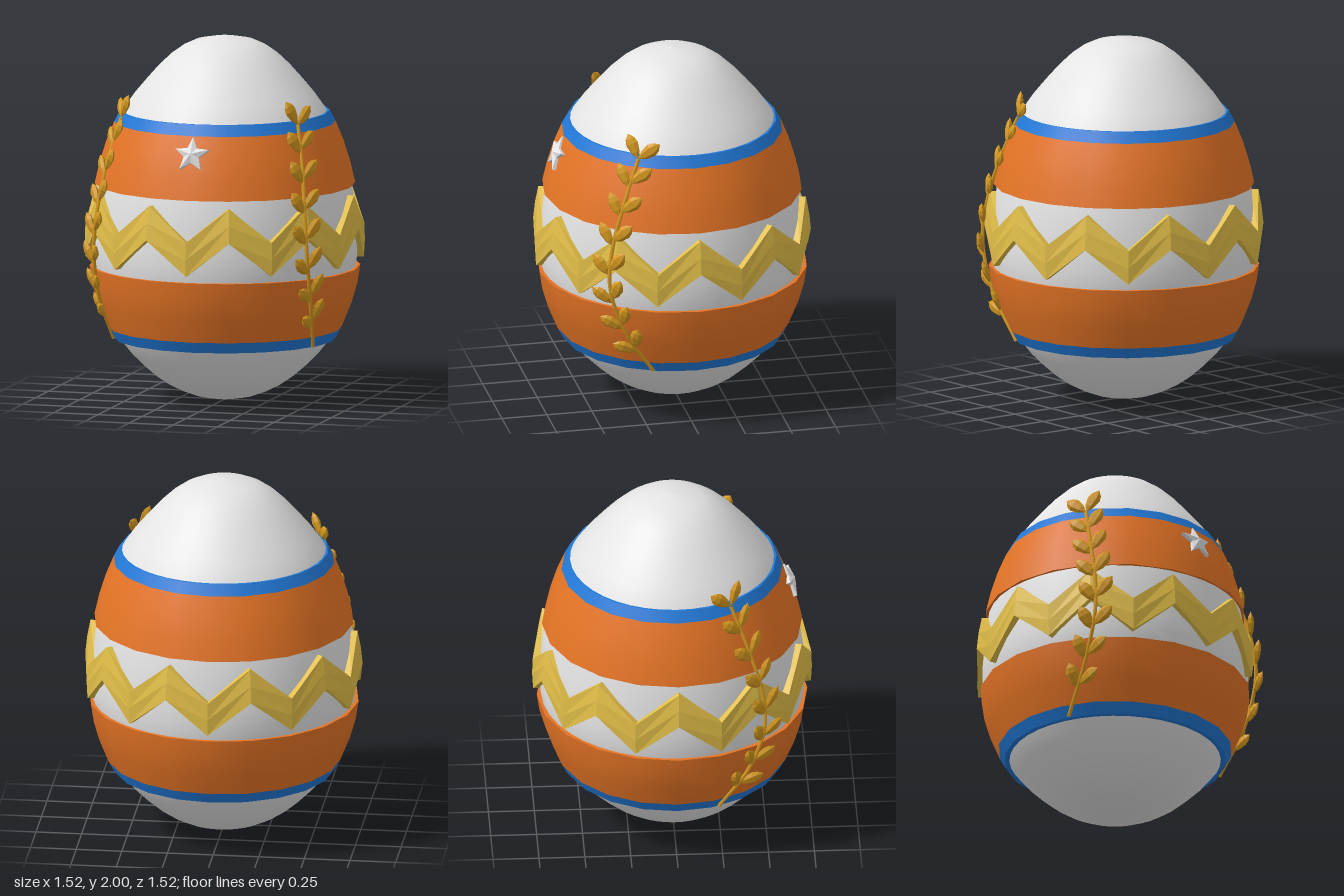
import * as THREE from 'three';
import { mergeGeometries } from 'three/addons/utils/BufferGeometryUtils.js';

const paint = (name, color) => {
  const m = new THREE.MeshStandardMaterial({ color });
  m.name = name;
  return m;
};
const white = paint('white', 0xe4e4e4);
const orange = paint('orange', 0xe57425);
const blue = paint('blue', 0x2178d6);
const yellow = paint('yellow', 0xe2be48);
const gold = paint('gold', 0xd4981f);

const mesh = (name, geometry, material) => {
  const m = new THREE.Mesh(geometry, material);
  m.name = name;
  return m;
};
const vec2 = list => list.map(([r, y]) => new THREE.Vector2(r, y));

// faceted normals
function flat(geometry) {
  const g = geometry.index ? geometry.toNonIndexed() : geometry;
  g.computeVertexNormals();
  return g;
}

function fromTriangles(points) {
  const g = new THREE.BufferGeometry();
  g.setFromPoints(points);
  g.computeVertexNormals();
  return g;
}

function egg() {
  const curve = new THREE.SplineCurve(vec2([
    [0, 0], [0.16, 0.025], [0.31, 0.09], [0.44, 0.19], [0.575, 0.34], [0.662, 0.53],
    [0.713, 0.74], [0.722, 0.9], [0.69, 1.19], [0.62, 1.42], [0.555, 1.59],
    [0.425, 1.76], [0.29, 1.9], [0.16, 1.975], [0, 2],
  ]));
  const points = curve.getPoints(28);
  points.forEach(p => { p.x = Math.max(p.x, 0); });
  return new THREE.LatheGeometry(points, 40);
}

// band with 20 sides: smooth wall and sharp rims that turn in to the shell
function band(wall) {
  const [first, last] = [wall[0], wall[wall.length - 1]];
  const strips = [
    [[first[0] - 0.06, first[1]], first],
    wall,
    [last, [last[0] - 0.06, last[1]]],
  ];
  return mergeGeometries(strips.map(s => new THREE.LatheGeometry(vec2(s), 20)));
}

// belt of ten peaks, swept as a five-point section
function zigzag() {
  const bulge = y => 0.762 - 0.45 * (y - 0.89) ** 2;
  const section = [[0.78, 0], [0.872, 0], [0.965, 0], [0.965, 0.045], [0.78, 0.045]];
  const at = (k, j) => {
    const a = k * Math.PI / 10;
    const [base, inset] = section[j % 5];
    const y = base + (k % 2 ? 0.185 : 0);
    const r = bulge(y) - inset;
    return new THREE.Vector3(r * Math.sin(a), y, r * Math.cos(a));
  };
  const tris = [];
  for (let k = 0; k < 20; k++) {
    for (let j = 0; j < 5; j++) {
      const a = at(k, j), b = at(k + 1, j), c = at(k + 1, j + 1), d = at(k, j + 1);
      tris.push(a, b, c, a, c, d);
    }
  }
  return fromTriangles(tris);
}

// five-pointed star rising to a centre point
function star() {
  const rim = (i, z) => {
    const a = Math.PI / 2 + i * Math.PI / 5;
    const r = i % 2 ? 0.045 : 0.1;
    return new THREE.Vector3(r * Math.cos(a), r * Math.sin(a), z);
  };
  const apex = new THREE.Vector3(0, 0, 0.03);
  const tris = [];
  for (let i = 0; i < 10; i++) {
    const a = rim(i, 0.008), b = rim(i + 1, 0.008), c = rim(i + 1, -0.03), d = rim(i, -0.03);
    tris.push(apex, a, b, a, d, c, a, c, b);
  }
  return fromTriangles(tris);
}

// faceted leaf growing along +y from its base
function leaf() {
  const g = new THREE.LatheGeometry(
    vec2([[0, 0], [0.026, 0.04], [0.037, 0.09], [0.028, 0.12], [0, 0.15]]), 6);
  g.rotateY(Math.PI / 6);
  g.scale(1, 1, 0.55);
  return flat(g);
}

function laurel(side) {
  const group = new THREE.Group();
  const path = new THREE.CatmullRomCurve3([
    [0.565, 0.345, 0.227], [0.6, 0.6, 0.39], [0.605, 0.87, 0.475],
    [0.588, 1.08, 0.46], [0.555, 1.32, 0.39], [0.5, 1.57, 0.295],
  ].map(([x, y, z]) => new THREE.Vector3(x * side, y, z)));
  group.add(mesh('stem', new THREE.TubeGeometry(path, 24, 0.011, 6), gold));

  const leafShape = leaf();
  const count = 8;
  for (let i = 0; i < count; i++) {
    for (const hand of [-1, 1]) {
      // leaves on the two hands are slightly staggered
      const t = Math.min(1, 0.12 + 0.88 * i / (count - 1) + (hand > 0 ? 0 : 0.02));
      const p = path.getPointAt(t);
      const tangent = path.getTangentAt(t);
      const out = new THREE.Vector3(p.x, 0, p.z).normalize();
      const across = new THREE.Vector3().crossVectors(out, tangent).normalize();
      const dir = tangent.clone().multiplyScalar(0.8)
        .addScaledVector(across, 0.62 * hand)
        .addScaledVector(out, 0.12).normalize();
      const wide = new THREE.Vector3().crossVectors(dir, out).normalize();
      const thick = new THREE.Vector3().crossVectors(wide, dir);
      const m = mesh('leaf', leafShape, gold);
      m.quaternion.setFromRotationMatrix(new THREE.Matrix4().makeBasis(wide, dir, thick));
      m.position.copy(p);
      group.add(m);
    }
  }
  return group;
}

export function createModel() {
  const model = new THREE.Group();
  model.name = 'decoratedEgg';
  model.add(mesh('eggShell', egg(), white));

  // painted bands
  model.add(mesh('upperBlueBand', band([[0.602, 1.53], [0.57, 1.59]]), blue));
  model.add(mesh('upperOrangeBand',
    band([[0.709, 1.19], [0.684, 1.3], [0.647, 1.42], [0.602, 1.53]]), orange));
  model.add(mesh('lowerOrangeBand',
    band([[0.637, 0.4], [0.69, 0.53], [0.722, 0.64], [0.737, 0.74]]), orange));
  model.add(mesh('lowerBlueBand', band([[0.605, 0.34], [0.637, 0.4]]), blue));

  model.add(mesh('zigzagBelt', zigzag(), yellow));

  const badge = mesh('star', star(), white);
  badge.position.set(0, 1.433, 0.642);
  badge.rotation.x = -0.38;
  model.add(badge);

  // laurel sprigs on both sides
  for (const [name, side] of [['leftLaurel', 1], ['rightLaurel', -1]]) {
    const sprig = laurel(side);
    sprig.name = name;
    model.add(sprig);
  }
  return model;
}
